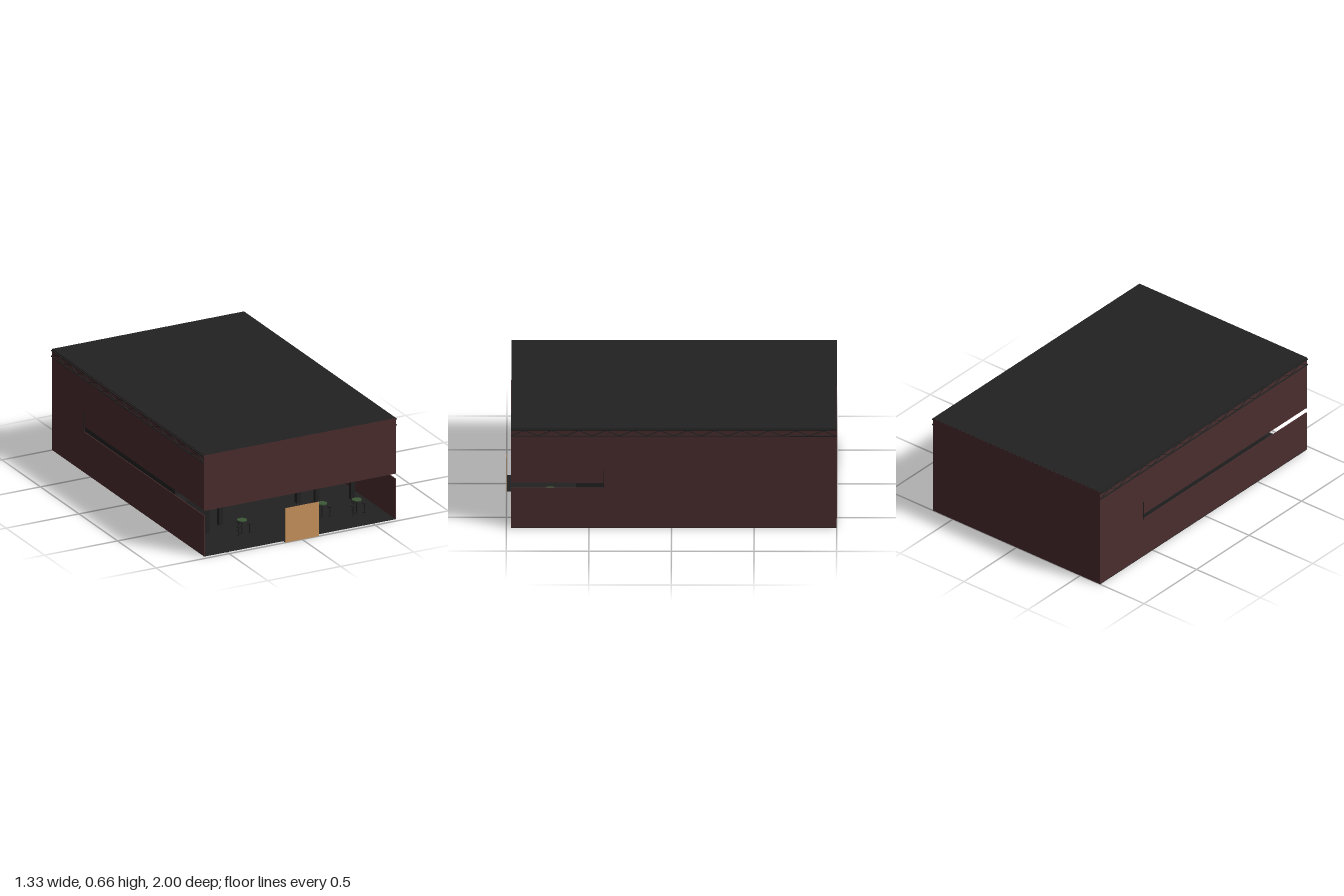
import * as THREE from 'three';

export function createModel() {
  const model = new THREE.Group();
  const mat = (name, color, side = THREE.FrontSide) => {
    const m = new THREE.MeshStandardMaterial({ color, side });
    m.name = name;
    return m;
  };
  const brown = mat('brown cladding', 0x4b2d2e);
  const dark = mat('charcoal', 0x222222);
  const orange = mat('orange wall', 0xc97f3a);
  const wood = mat('light wood', 0xc8935c, THREE.DoubleSide);
  const glass = mat('pale glass', 0x9cb0b8, THREE.DoubleSide);
  const leaf = mat('leaf green', 0x2b4a26);
  const tableGreen = mat('table green', 0x3c5836);

  const add = (name, geo, m, parent = model) => {
    const mesh = new THREE.Mesh(geo, m);
    mesh.name = name;
    parent.add(mesh);
    return mesh;
  };
  // Box given by its lower and upper limits on each axis
  const box = (name, m, x0, x1, y0, y1, z0, z1, parent) => {
    const mesh = add(name, new THREE.BoxGeometry(x1 - x0, y1 - y0, z1 - z0), m, parent);
    mesh.position.set((x0 + x1) / 2, (y0 + y1) / 2, (z0 + z1) / 2);
    return mesh;
  };
  // Thin rod lying in the xy or yz plane between two points
  const rod = (name, m, a, b, t, parent) => {
    const d = b.clone().sub(a);
    const mesh = add(name, new THREE.BoxGeometry(t, d.length(), t), m, parent);
    mesh.position.copy(a).add(b).multiplyScalar(0.5);
    mesh.quaternion.setFromUnitVectors(new THREE.Vector3(0, 1, 0), d.normalize());
    return mesh;
  };
  const V = (x, y, z) => new THREE.Vector3(x, y, z);

  // Shell
  const W = 0.656, F = 0.972, T = 0.006;
  box('floor', dark, -W, W, 0, 0.004, -0.999, F);
  box('entranceStep', dark, -0.115, 0.115, 0, 0.004, F, 0.998);
  box('roof', dark, -W, W, 0.65, 0.66, -0.999, F - 0.001);
  box('upperFrontWall', brown, -W, W, 0.297, 0.659, F - T, F);
  box('backWall', brown, -W, W, 0, 0.659, -1, -1 + T);
  box('middleFloor', dark, -W + T, W - T, 0.265, 0.3, -0.99, 0.58);

  // Side walls with a long slot, a post at the slot's end and a roof truss
  for (const [s, slotEnd] of [[1, 0.41], [-1, -0.59]]) {
    const side = new THREE.Group();
    side.name = s > 0 ? 'leftWall' : 'rightWall';
    model.add(side);
    const x0 = s > 0 ? W - T : -W, x1 = x0 + T;
    box('lowerWall', brown, x0, x1, 0, 0.265, -1, F, side);
    box('upperWall', brown, x0, x1, 0.3, 0.659, -1, F, side);
    box('slotFill', brown, x0, x1, 0.265, 0.3, -1, slotEnd, side);
    const px = s * 0.657;
    box('slotPost', dark, px - 0.003, px + 0.003, 0.265, 0.39, slotEnd - 0.002, slotEnd + 0.002, side);
    const tx = s * 0.66;
    box('topChord', dark, tx - 0.004, tx + 0.004, 0.648, 0.654, -1, F, side);
    box('bottomChord', dark, tx - 0.004, tx + 0.004, 0.61, 0.614, -1, F, side);
    const n = 24, step = (F + 1) / n;
    for (let i = 0; i < n; i++) {
      const up = i % 2 === 0;
      rod('trussBrace', dark, V(tx, up ? 0.614 : 0.648, -1 + i * step),
        V(tx, up ? 0.648 : 0.614, -1 + (i + 1) * step), 0.004, side);
    }
  }

  // Entrance panel and hanging block above it
  box('entrancePanel', wood, -0.115, 0.115, 0, 0.224, 0.997, 0.999);
  box('hangingBlock', dark, -0.014, 0.014, 0.22, 0.297, 0.93, 0.96);

  // Interior back wall, side room and columns
  box('innerWall', orange, -0.5, 0.54, 0.07, 0.265, -0.56, -0.55);
  box('innerWallBase', brown, -0.5, 0.54, 0, 0.07, -0.56, -0.55);
  box('sideRoom', dark, -W + T, -0.445, 0, 0.24, 0.2, 0.65);
  box('sideRoomLintel', brown, -W + T, -0.5, 0.24, 0.258, 0.19, 0.2);
  for (const x of [-0.332, 0.328, 0.572])
    box('column', dark, x - 0.013, x + 0.013, 0, 0.297, 0.55, 0.576);

  // Bar, reception desk and its partition
  box('barCounter', dark, -0.415, -0.115, 0, 0.07, -0.1, 0.0);
  box('barRail', dark, -0.415, -0.115, 0.075, 0.079, -0.01, 0);
  box('barScreen', glass, -0.128, -0.1, 0.08, 0.165, -0.06, -0.055);
  box('barScreenPost', dark, -0.131, -0.125, 0.07, 0.168, -0.06, -0.05);
  box('desk', wood, -0.1, 0.145, 0, 0.09, 0.12, 0.24);
  box('deskPartition', wood, -0.1, 0.21, 0.09, 0.178, -0.32, -0.31);

  // Staircase with a glass balustrade
  const stairs = new THREE.Group();
  stairs.name = 'staircase';
  model.add(stairs);
  const steps = 14, sx = 0.145, run = 0.35 / steps, rise = 0.262 / steps;
  const profile = new THREE.Shape();
  profile.moveTo(sx, 0);
  for (let i = 0; i < steps; i++) {
    profile.lineTo(sx + i * run, (i + 1) * rise);
    profile.lineTo(sx + (i + 1) * run, (i + 1) * rise);
  }
  profile.lineTo(0.545, 0.262);
  profile.lineTo(0.545, 0);
  const flight = add('stepsFlight', new THREE.ExtrudeGeometry(profile, { depth: 0.18, bevelEnabled: false }), dark, stairs);
  flight.position.z = -0.3;
  const pane = new THREE.Shape([[sx, 0], [0.495, 0.262], [0.385, 0.262], [sx, 0.085]].map(p => new THREE.Vector2(...p)));
  for (const z of [-0.295, -0.125])
    add('balustradeGlass', new THREE.ShapeGeometry(pane), glass, stairs).position.z = z;
  for (const z of [-0.295, -0.125])
    rod('handrail', dark, V(sx, 0.085, z), V(0.385, 0.264, z), 0.007, stairs);
  box('newelPost', dark, sx - 0.003, sx + 0.003, 0, 0.088, -0.128, -0.122, stairs);

  // High tables with stools
  for (const [x, z] of [[-0.28, 0.75], [0.277, 0.735], [0.49, 0.78]]) {
    const set = new THREE.Group();
    set.name = 'tableSet';
    set.position.set(x, 0, z);
    model.add(set);
    const disc = (name, m, r, h, px, py, pz) =>
      add(name, new THREE.CylinderGeometry(r, r, h, 20), m, set).position.set(px, py, pz);
    disc('tableTop', tableGreen, 0.03, 0.005, 0, 0.091, 0);
    disc('tableLeg', dark, 0.004, 0.09, 0, 0.045, 0);
    disc('tableFoot', dark, 0.016, 0.004, 0, 0.006, 0);
    for (const [dx, dz] of [[-0.035, 0.02], [0.048, 0.01], [0.005, -0.05]]) {
      disc('stoolSeat', dark, 0.015, 0.006, dx, 0.063, dz);
      disc('stoolLeg', dark, 0.004, 0.06, dx, 0.032, dz);
      disc('stoolFoot', dark, 0.012, 0.004, dx, 0.006, dz);
    }
  }

  // Planter and shrub in the corner
  const plant = new THREE.Group();
  plant.name = 'cornerPlant';
  model.add(plant);
  box('planter', leaf, 0.545, 0.632, 0, 0.06, 0.0, 0.08, plant);
  for (const [x, y, r] of [[0.618, 0.165, 0.028], [0.605, 0.115, 0.022], [0.625, 0.11, 0.023], [0.615, 0.075, 0.026]])
    add('foliage', new THREE.SphereGeometry(r, 14, 10), leaf, plant).position.set(x, y, 0.04);
  plant.children.slice(1).forEach(f => f.scale.set(1, 1.25, 1));

  return model;
}
